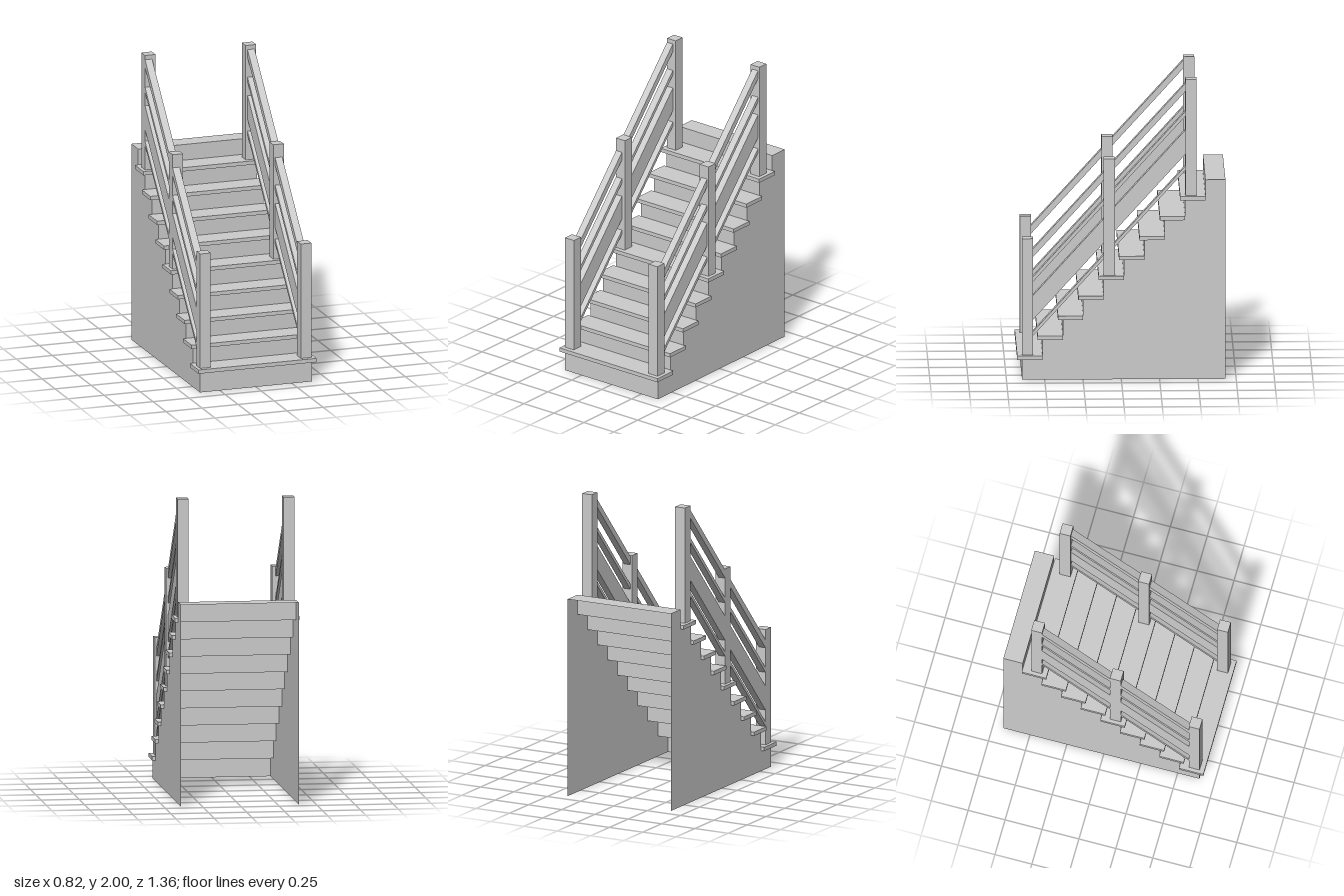
import * as THREE from 'three';

const STEPS = 9, RUN = 0.133, RISE = 0.1325;
const FRONT = 0.648, BACK = -0.68, FIRST = 0.137;   // shell extents and first riser height
const HALF = 0.388, TREAD_T = 0.026;
const POST = 0.073, POST_H = 0.777;

const solid = new THREE.MeshStandardMaterial({ color: 0xcccccc, flatShading: true });
const sheet = new THREE.MeshStandardMaterial({ color: 0xcccccc, flatShading: true, side: THREE.DoubleSide });

function add(parent, name, geometry, material = solid) {
  const mesh = new THREE.Mesh(geometry, material);
  mesh.name = name;
  parent.add(mesh);
  return mesh;
}

// Side outline from [z, y] points; after the quarter turn shape x becomes -z
const sideShape = (pts) => new THREE.Shape(pts.map(([z, y]) => new THREE.Vector2(-z, y)));

// Hollow stair body, open at the back and underneath
function stairBody() {
  const body = new THREE.Group();
  body.name = 'stairBody';
  const outline = [[FRONT, 0]];
  for (let i = 0; i <= STEPS; i++) {
    const y = FIRST + RISE * i;
    const z0 = FRONT - RUN * i;
    const z1 = i < STEPS ? z0 - RUN : BACK;
    const y0 = i ? y - RISE : 0;
    outline.push([z0, y], [z1, y]);
    add(body, 'riser', new THREE.PlaneGeometry(2 * HALF, y - y0), sheet)
      .position.set(0, (y + y0) / 2, z0);
    add(body, i < STEPS ? 'stepBase' : 'landing',
      new THREE.PlaneGeometry(2 * HALF, z0 - z1).rotateX(-Math.PI / 2), sheet)
      .position.set(0, y, (z0 + z1) / 2);
  }
  outline.push([BACK, 0]);
  for (const s of [-1, 1]) {
    add(body, s > 0 ? 'leftWall' : 'rightWall',
      new THREE.ShapeGeometry(sideShape(outline)).rotateY(Math.PI / 2), sheet)
      .position.x = s * HALF;
  }
  return body;
}

// Overhanging tread boards
function treads() {
  const group = new THREE.Group();
  group.name = 'treads';
  const depth = 0.165;
  for (let i = 0; i < STEPS; i++) {
    add(group, 'tread', new THREE.BoxGeometry(0.82, TREAD_T, depth))
      .position.set(0, FIRST + RISE * i + TREAD_T / 2, 0.68 - RUN * i - depth / 2);
  }
  return group;
}

// Three posts with sloping, plumb-cut rails between them
function railing(name, postX, railX) {
  const group = new THREE.Group();
  group.name = name;
  const postZ = [0, 4, 8].map((i) => FRONT - POST / 2 - 0.1333 * i);
  postZ.forEach((z, k) => {
    const foot = FIRST + TREAD_T + RISE * 4 * k;
    add(group, 'post', new THREE.BoxGeometry(POST, POST_H, POST))
      .position.set(postX, foot + POST_H / 2, z);
  });

  // Bottom and top height of each rail at the lowest post
  const rails = [
    ['handrail', 0.817, 0.872], ['upperRail', 0.652, 0.685],
    ['railBoard', 0.398, 0.56], ['lowerRail', 0.29, 0.319],
  ];
  const slope = 1.106, start = postZ[0] - POST / 2, width = 0.049;
  for (let k = 0; k < 2; k++) {
    const z0 = postZ[k] - POST / 2, z1 = postZ[k + 1] + POST / 2;
    const up0 = (start - z0) * slope, up1 = (start - z1) * slope;
    for (const [railName, lo, hi] of rails) {
      const shape = sideShape([[z0, lo + up0], [z1, lo + up1], [z1, hi + up1], [z0, hi + up0]]);
      const geometry = new THREE.ExtrudeGeometry(shape, { depth: width, bevelEnabled: false });
      add(group, railName, geometry.rotateY(Math.PI / 2)).position.x = railX - width / 2;
    }
  }
  return group;
}

export function createModel() {
  const model = new THREE.Group();
  model.name = 'staircase';
  model.add(
    stairBody(),
    treads(),
    railing('leftRailing', 0.348, 0.349),
    railing('rightRailing', -0.35, -0.362),
  );
  return model;
}
